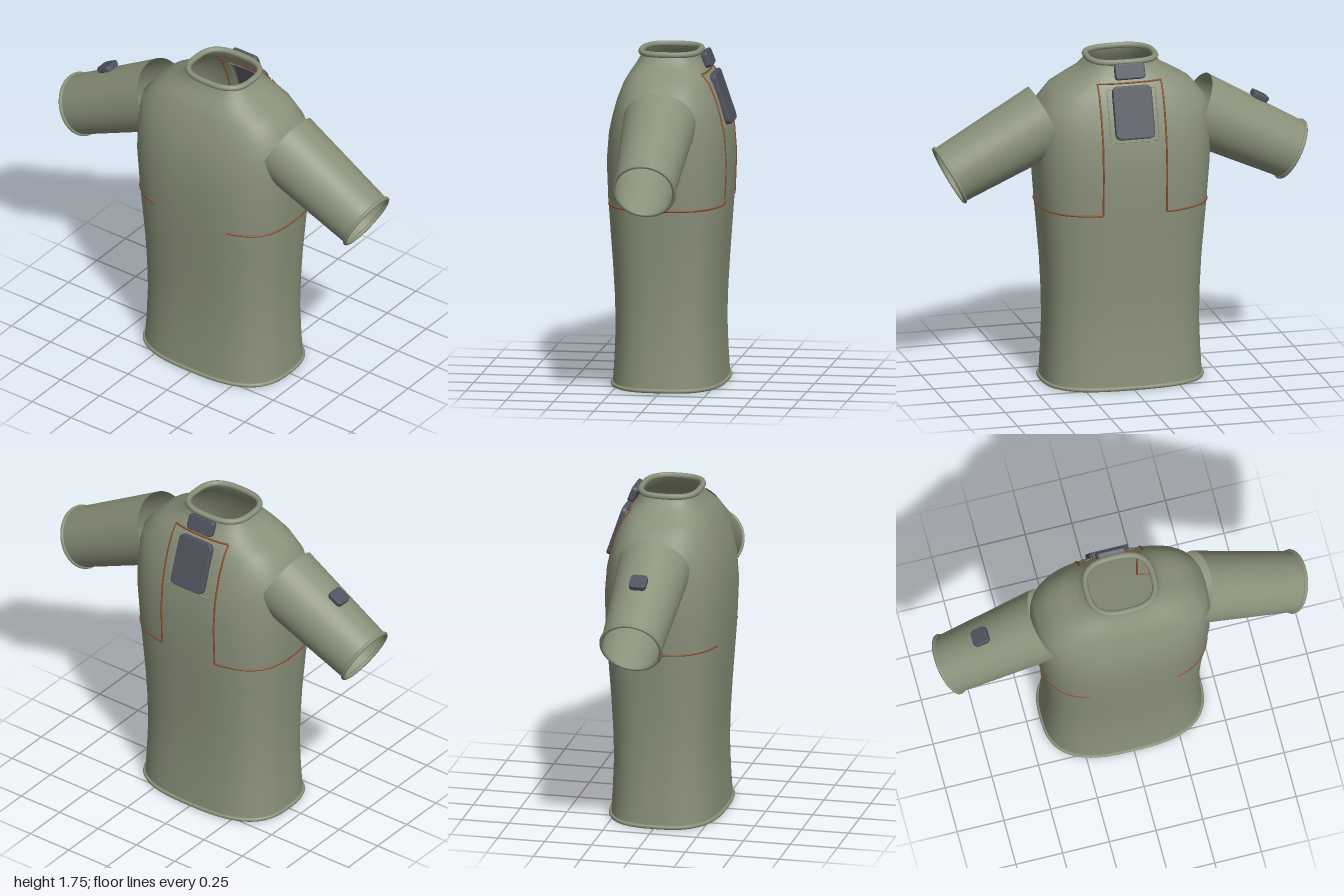
import * as THREE from 'three';

const N = 2.8; // squareness of the body's cross-section

// Torso rings: height, half width, half depth
const RINGS = [
  [0.01, 0.42, 0.29], [0.15, 0.412, 0.281], [0.32, 0.406, 0.275], [0.48, 0.409, 0.28],
  [0.65, 0.417, 0.29], [0.82, 0.431, 0.302], [0.98, 0.445, 0.313], [1.18, 0.46, 0.32],
  [1.33, 0.464, 0.308], [1.42, 0.46, 0.288], [1.5, 0.445, 0.266], [1.585, 0.375, 0.234],
  [1.63, 0.3, 0.208], [1.67, 0.23, 0.18], [1.71, 0.19, 0.157], [1.74, 0.177, 0.152],
];

function sizeAt(y) {
  let i = 0;
  while (i < RINGS.length - 2 && RINGS[i + 1][0] < y) i++;
  const [p, q] = [RINGS[i], RINGS[i + 1]];
  const t = (y - p[0]) / (q[0] - p[0]);
  return [p[1] + (q[1] - p[1]) * t, p[2] + (q[2] - p[2]) * t];
}

// Point on a rounded-square loop at an angle measured from +x towards +z
function loopPoint(a, b, y, angle) {
  const c = Math.cos(angle), s = Math.sin(angle);
  const r = Math.pow(Math.abs(c) ** N + Math.abs(s) ** N, -1 / N);
  return new THREE.Vector3(a * c * r, y, b * s * r);
}

// Point on the torso's back
function backPoint(x, y) {
  const [a, b] = sizeAt(y);
  return new THREE.Vector3(x, y, -b * Math.pow(1 - Math.abs(x / a) ** N, 1 / N));
}

function torsoGeometry(seg = 96) {
  const pos = [], idx = [];
  RINGS.forEach(([y, a, b], i) => {
    for (let j = 0; j < seg; j++) {
      pos.push(...loopPoint(a, b, y, (j / seg) * Math.PI * 2).toArray());
      if (i === RINGS.length - 1) continue;
      const p = i * seg + j, q = i * seg + ((j + 1) % seg);
      idx.push(p, p + seg, q, q, p + seg, q + seg);
    }
  });
  const g = new THREE.BufferGeometry();
  g.setAttribute('position', new THREE.Float32BufferAttribute(pos, 3));
  g.setIndex(idx);
  g.computeVertexNormals();
  return g;
}

function tube(points, radius, closed = false) {
  const curve = new THREE.CatmullRomCurve3(points, closed, 'centripetal');
  return new THREE.TubeGeometry(curve, points.length * 2, radius, 8, closed);
}

function ring(a, b, y, radius) {
  const pts = [];
  for (let j = 0; j < 64; j++) pts.push(loopPoint(a, b, y, (j / 64) * Math.PI * 2));
  return tube(pts, radius, true);
}

// Rounded slab lying in the xy plane, centred, with softened edges
function slab(w, h, depth, corner, bevel) {
  const x = w / 2 - bevel, y = h / 2 - bevel, r = corner;
  const s = new THREE.Shape();
  s.absarc(x - r, y - r, r, 0, Math.PI / 2);
  s.absarc(-x + r, y - r, r, Math.PI / 2, Math.PI);
  s.absarc(-x + r, -y + r, r, Math.PI, Math.PI * 1.5);
  s.absarc(x - r, -y + r, r, Math.PI * 1.5, Math.PI * 2);
  const g = new THREE.ExtrudeGeometry(s, {
    depth: depth - 2 * bevel, bevelEnabled: true, bevelSize: bevel,
    bevelThickness: bevel, bevelSegments: 3, curveSegments: 6,
  });
  return g.translate(0, 0, -depth / 2 + bevel);
}

export function createModel() {
  const model = new THREE.Group();
  model.name = 'shirt';
  const fabric = new THREE.MeshStandardMaterial({ color: 0x8a917a, side: THREE.DoubleSide });
  fabric.name = 'sage fabric';
  const device = new THREE.MeshStandardMaterial({ color: 0x50535d });
  device.name = 'slate grey';
  const thread = new THREE.MeshStandardMaterial({ color: 0x8a4b2a });
  thread.name = 'rust thread';

  const add = (name, geometry, material, parent = model) => {
    const m = new THREE.Mesh(geometry, material);
    m.name = name;
    parent.add(m);
    return m;
  };

  // Body, hem and collar
  add('torso', torsoGeometry(), fabric);
  add('hem', ring(0.42, 0.29, 0.011, 0.011), fabric);
  add('collar', ring(0.178, 0.152, 1.738, 0.016), fabric);

  // Open tapered sleeves with rolled cuffs
  for (const side of [1, -1]) {
    const inner = new THREE.Vector3(0.395 * side, 1.42, 0);
    const outer = new THREE.Vector3(0.914 * side, 1.152, 0);
    const dir = outer.clone().sub(inner);
    const length = dir.length();
    const sleeve = new THREE.Group();
    sleeve.name = side > 0 ? 'leftSleeve' : 'rightSleeve';
    sleeve.position.copy(inner);
    sleeve.quaternion.setFromUnitVectors(new THREE.Vector3(0, 1, 0), dir.normalize());
    model.add(sleeve);
    const wall = new THREE.CylinderGeometry(0.158, 0.19, length, 64, 1, true);
    add('sleeveTube', wall.translate(0, length / 2, 0), fabric, sleeve);
    const cuff = new THREE.TorusGeometry(0.158, 0.01, 10, 64).rotateX(Math.PI / 2);
    add('cuff', cuff.translate(0, length, 0), fabric, sleeve);
  }

  // Seams: round each flank, up the back, and across the shoulder blades
  const seamY = 0.96;
  const [a, b] = sizeAt(seamY);
  const angleAt = (x) => Math.atan2(Math.pow(1 - (x / a) ** N, 1 / N), x / a);
  const from = angleAt(0.23), to = -angleAt(0.17);
  for (const side of [1, -1]) {
    const flank = [], riser = [];
    for (let i = 0; i <= 40; i++) {
      const p = loopPoint(a, b, seamY, from + ((to - from) * i) / 40);
      p.x *= side;
      flank.push(p);
      riser.push(backPoint(0.17 * side, seamY + (0.68 * i) / 40));
    }
    add('flankSeam', tube(flank, 0.005), thread);
    add('backSeam', tube(riser, 0.005), thread);
  }
  const yoke = [];
  for (let i = 0; i <= 20; i++) yoke.push(backPoint(-0.17 + 0.017 * i, 1.64));
  add('yokeSeam', tube(yoke, 0.005), thread);

  // Faint stitched edge around the back pack
  const edge = [];
  const corners = [[-0.13, 1.61], [0.13, 1.61], [0.13, 1.35], [-0.13, 1.35]];
  corners.forEach(([x, y], i) => {
    const [u, v] = corners[(i + 1) % 4];
    for (let k = 0; k < 10; k++) edge.push(backPoint(x + ((u - x) * k) / 10, y + ((v - y) * k) / 10));
  });
  add('packEdge', tube(edge, 0.003, true), fabric);

  // Back pack and the small box below the collar
  const pack = add('backPack', slab(0.21, 0.28, 0.03, 0.025, 0.007), device);
  pack.position.set(0, 1.5, -0.272);
  pack.rotation.x = 0.33;
  const box = add('collarBox', slab(0.16, 0.085, 0.034, 0.012, 0.007), device);
  box.position.set(0, 1.7, -0.192);
  box.rotation.x = 0.38;

  // Module on top of the right sleeve
  const badge = add('sleeveModule', slab(0.09, 0.09, 0.03, 0.015, 0.006).rotateX(-Math.PI / 2), device);
  badge.position.set(-0.748, 1.452, 0);
  badge.rotation.z = 0.5;

  return model;
}
